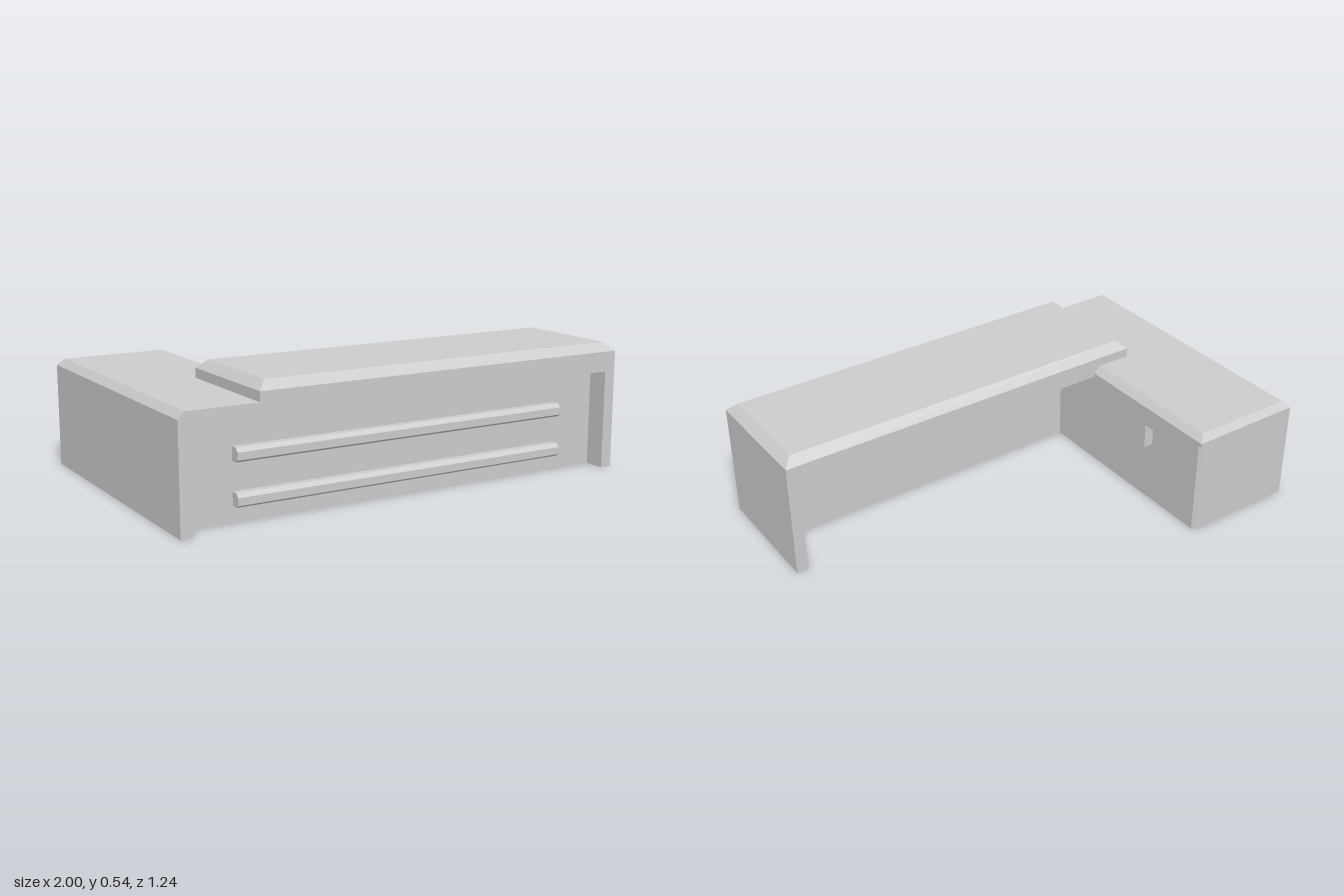
import * as THREE from 'three';

export function createModel() {
  const model = new THREE.Group();
  const mat = new THREE.MeshStandardMaterial({ color: 0xcccccc, flatShading: true });

  const add = (name, geo) => {
    const mesh = new THREE.Mesh(geo, mat);
    mesh.name = name;
    model.add(mesh);
    return mesh;
  };

  const box = (name, x0, x1, y0, y1, z0, z1) => add(name,
    new THREE.BoxGeometry(x1 - x0, y1 - y0, z1 - z0)
      .translate((x0 + x1) / 2, (y0 + y1) / 2, (z0 + z1) / 2));

  // Slab whose top edges are bevelled; inset gives the bevel on each side
  const slab = (name, [x0, x1], [y0, yShoulder, y1], [z0, z1], inset) => {
    const geo = new THREE.BoxGeometry(1, 1, 1, 1, 2, 1);
    const p = geo.attributes.position;
    for (let i = 0; i < p.count; i++) {
      const level = Math.round(p.getY(i) * 2) + 1;
      const k = level === 2 ? 1 : 0;
      p.setXYZ(i,
        p.getX(i) < 0 ? x0 + k * inset.left : x1 - k * inset.right,
        [y0, yShoulder, y1][level],
        p.getZ(i) < 0 ? z0 + k * inset.back : z1 - k * inset.front);
    }
    geo.computeVertexNormals();
    return add(name, geo);
  };

  const path = (pts, Type) => new Type(pts.map(([a, b]) => new THREE.Vector2(a, b)));

  // Extrudes a (z, y) outline along x
  const extrudeX = (name, pts, x0, x1, holes = []) => {
    const shape = path(pts.map(([z, y]) => [-z, y]), THREE.Shape);
    shape.holes = holes.map(h => path(h.map(([z, y]) => [-z, y]), THREE.Path));
    return add(name, new THREE.ExtrudeGeometry(shape, { depth: x1 - x0, bevelEnabled: false })
      .rotateY(Math.PI / 2).translate(x0, 0, 0));
  };

  const rect = (z0, z1, y0, y1) => [[z0, y0], [z1, y0], [z1, y1], [z0, y1]];
  const under = 0.415; // underside of the worktops

  // Worktops
  slab('deskTop', [-0.68, 1], [under, 0.5, 0.535], [0.08, 0.62],
    { left: 0.037, right: 0.037, back: 0.037, front: 0.037 });
  slab('cabinetTop', [-1, -0.5], [under, 0.432, 0.46], [-0.62, 0.62],
    { left: 0.028, right: 0.028, back: 0.026, front: 0 });

  // End panels
  box('deskEndPanel', 0.95, 1, 0, under, 0.08, 0.62);
  box('cabinetOuterPanel', -1, -0.95, 0, under, -0.62, 0.62);

  // Recessed front panel, closing the knee space
  box('frontPanel', -0.5, 0.95, 0, under, 0.32, 0.53);

  // Bevelled rails across the front
  for (const y of [0.065, 0.235]) {
    extrudeX('frontRail', [[0.53, y], [0.56, y], [0.575, y + 0.01], [0.575, y + 0.04],
      [0.56, y + 0.055], [0.53, y + 0.055]], -0.75, 0.75);
  }

  // Cabinet core, with a small bevel on its inner back corner
  const plan = [[-0.95, 0.53], [-0.95, -0.62], [-0.515, -0.62], [-0.5, -0.605],
    [-0.5, -0.56], [-0.55, -0.56], [-0.55, 0.53]];
  add('cabinetBody', new THREE.ExtrudeGeometry(
    path(plan.map(([x, z]) => [x, -z]), THREE.Shape), { depth: under, bevelEnabled: false })
    .rotateX(-Math.PI / 2));

  // Cabinet face with sunken drawers and a tall door
  extrudeX('cabinetFace', rect(-0.56, 0.53, 0, under), -0.55, -0.5, [
    rect(-0.095, 0.083, 0.23, 0.345),
    rect(-0.36, -0.18, 0.23, 0.345),
    rect(-0.095, 0.083, 0.057, 0.175),
    rect(-0.36, -0.18, 0.057, 0.175),
    rect(-0.535, -0.445, 0.057, 0.345),
  ]);
  box('drawerDivider', -0.55, -0.505, 0.23, 0.33, -0.272, -0.266);

  return model;
}
